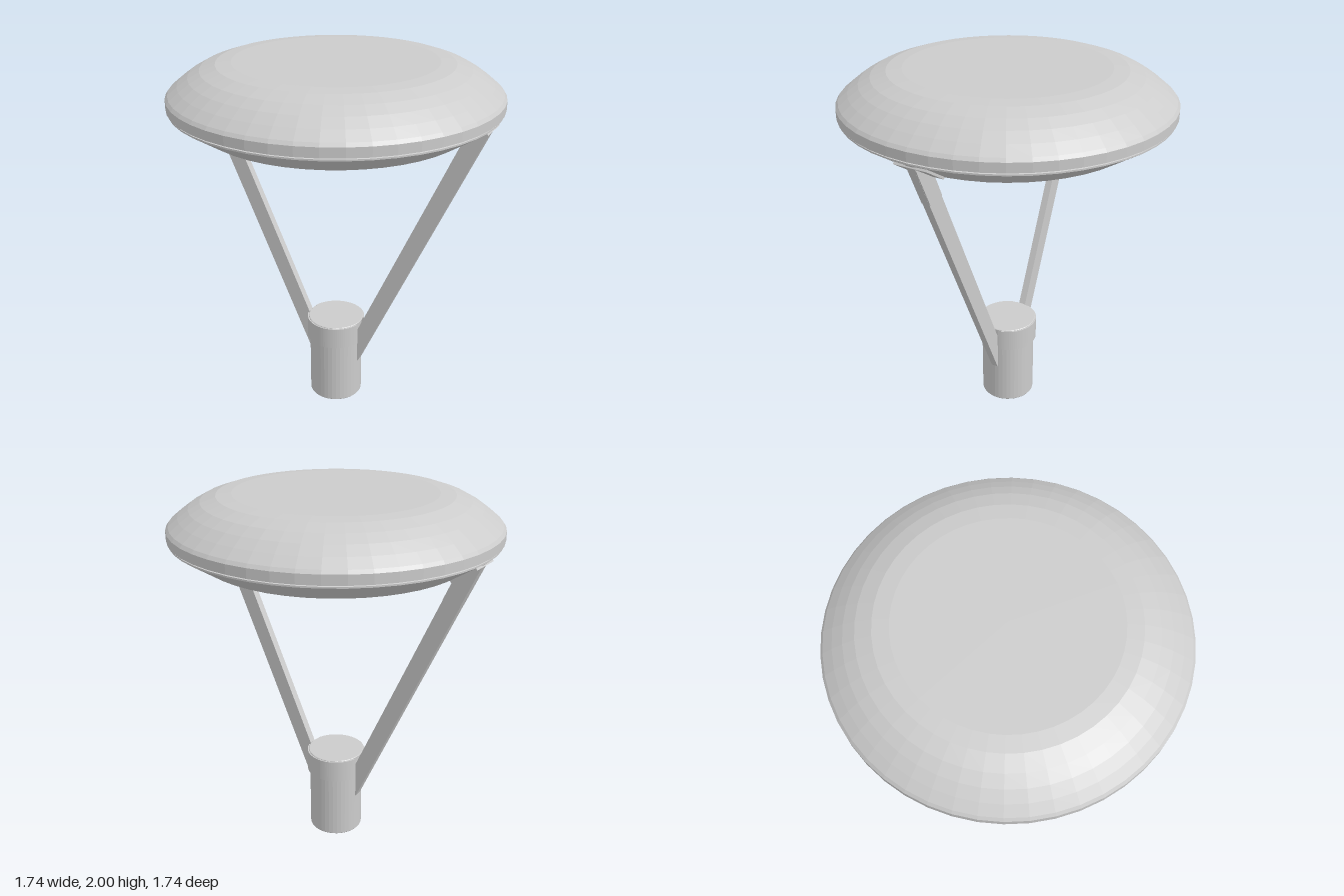
import * as THREE from 'three';
import { mergeGeometries } from 'three/addons/utils/BufferGeometryUtils.js';

const flat = new THREE.MeshStandardMaterial({ color: 0xcccccc, flatShading: true });
const smooth = new THREE.MeshStandardMaterial({ color: 0xcccccc });

function add(parent, name, geometry, material = flat) {
  const mesh = new THREE.Mesh(geometry, material);
  mesh.name = name;
  parent.add(mesh);
  return mesh;
}

function lathe(points, segments) {
  return new THREE.LatheGeometry(points.map(([r, y]) => new THREE.Vector2(r, y)), segments);
}

// Extrudes an outline in the xy plane, centred on z = 0
function slab(points, thickness) {
  const shape = new THREE.Shape(points.map(([x, y]) => new THREE.Vector2(x, y)));
  const g = new THREE.ExtrudeGeometry(shape, { depth: thickness, bevelEnabled: false });
  return g.translate(0, 0, -thickness / 2);
}

// Half of the notched collar; the gaps at +x and -x let the arms through
function collarHalf() {
  const outer = 0.165, inner = 0.145, halfGap = 0.045;
  const a = Math.asin(halfGap / outer), b = Math.asin(halfGap / inner);
  const shape = new THREE.Shape();
  shape.absarc(0, 0, outer, a, Math.PI - a, false);
  shape.absarc(0, 0, inner, Math.PI - b, b, true);
  const g = new THREE.ExtrudeGeometry(shape, { depth: 0.125, bevelEnabled: false, curveSegments: 18 });
  return g.rotateX(-Math.PI / 2).translate(0, 0.37, 0);
}

// One light module: base plate, grid of lenses and a raised central block
function lightModule() {
  const parts = [new THREE.BoxGeometry(0.33, 0.012, 0.33)];
  const n = 9, pitch = 0.034;
  for (let i = 0; i < n; i++) {
    for (let j = 0; j < n; j++) {
      const u = i - (n - 1) / 2, v = j - (n - 1) / 2;
      if (Math.max(Math.abs(u), Math.abs(v)) < 2) continue;
      parts.push(new THREE.CylinderGeometry(0.012, 0.008, 0.008, 8).translate(u * pitch, -0.009, v * pitch));
    }
  }
  parts.push(new THREE.BoxGeometry(0.08, 0.03, 0.08).translate(0, -0.015, 0));
  return mergeGeometries(parts);
}

export function createModel() {
  const model = new THREE.Group();
  model.name = 'postTopLamp';

  // Domed head with seam groove, tapered underside and recessed face
  add(model, 'head', lathe([
    [0, 1.715], [0.63, 1.715], [0.635, 1.675], [0.645, 1.67], [0.705, 1.67],
    [0.86, 1.77], [0.86, 1.778], [0.853, 1.78], [0.853, 1.785], [0.868, 1.787],
    [0.868, 1.835], [0.855, 1.852], [0.805, 1.893], [0.75, 1.932], [0.69, 1.965],
    [0.61, 1.992], [0.53, 2], [0, 2],
  ], 48));

  // Light panel: four modules on a square backing
  const panel = new THREE.Group();
  panel.name = 'lightPanel';
  model.add(panel);
  add(panel, 'panelPlate', new THREE.BoxGeometry(0.7, 0.012, 0.7)).position.y = 1.712;
  const moduleGeometry = lightModule();
  for (const x of [-0.175, 0.175]) {
    for (const z of [-0.175, 0.175]) {
      add(panel, 'lightModule', moduleGeometry).position.set(x, 1.704, z);
    }
  }

  // Hollow mounting post with closed top
  add(model, 'post', lathe([
    [0, 0.47], [0.13, 0.47], [0.13, 0.005], [0.135, 0], [0.148, 0], [0.151, 0.004],
    [0.151, 0.488], [0.158, 0.49], [0.158, 0.497], [0.155, 0.5], [0, 0.5],
  ], 40));

  // Arms: the same assembly turned half round for the other side
  const bar = slab([[0.14, 0.22], [0.155, 0.24], [0.845, 1.76], [0.7, 1.67], [0.155, 0.46], [0.14, 0.43]], 0.04);
  const sleeve = slab([[0.74, 1.53], [0.845, 1.761], [0.7, 1.669], [0.644, 1.545]], 0.05);
  const bracket = new THREE.BoxGeometry(0.155, 0.014, 0.18).rotateZ(Math.atan2(0.1, 0.155)).translate(0.778, 1.715, 0);
  const half = collarHalf();
  for (const [side, turn] of [['left', 0], ['right', Math.PI]]) {
    const arm = new THREE.Group();
    arm.name = side + 'Arm';
    arm.rotation.y = turn;
    add(arm, 'armBar', bar);
    add(arm, 'armSleeve', sleeve);
    add(arm, 'headBracket', bracket);
    model.add(arm);
    add(model, 'collarHalf', half, smooth).rotation.y = turn;
  }
  return model;
}
